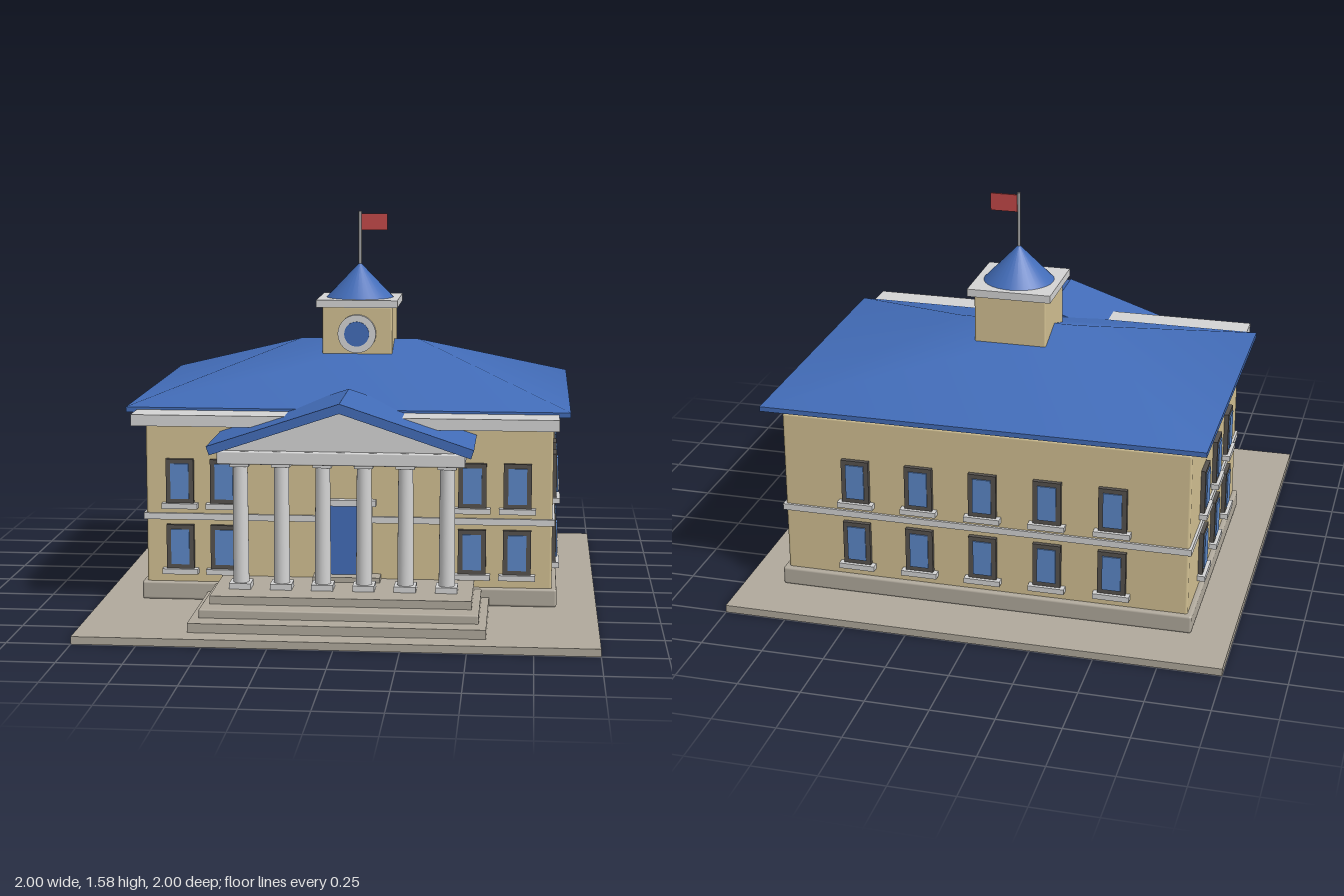
import * as THREE from 'three';
import { RoundedBoxGeometry } from 'three/addons/geometries/RoundedBoxGeometry.js';

export function createModel() {
  const root = new THREE.Group();
  root.name = 'townHall';
  const mat = (name, color) => {
    const m = new THREE.MeshStandardMaterial({ color });
    m.name = name;
    return m;
  };
  const stone = mat('stone', 0xb0a99c);
  const wall = mat('wall', 0xd2c092);
  const trim = mat('trim', 0xd4d4d4);
  const blue = mat('roofBlue', 0x426cb8);
  const glass = mat('glass', 0x5c88c8);
  const frame = mat('darkFrame', 0x56524e);
  const metal = mat('metal', 0x9a9a9a);
  const red = mat('flagRed', 0xc24848);

  const add = (name, geo, m, parent = root) => {
    const mesh = new THREE.Mesh(geo, m);
    mesh.name = name;
    parent.add(mesh);
    return mesh;
  };
  // Box given by its limits; r > 0 rounds the edges
  const box = (name, m, x0, x1, y0, y1, z0, z1, r = 0, parent = root) => {
    const s = [x1 - x0, y1 - y0, z1 - z0];
    const g = r ? new RoundedBoxGeometry(...s, 2, r) : new THREE.BoxGeometry(...s);
    const mesh = add(name, g, m, parent);
    mesh.position.set((x0 + x1) / 2, (y0 + y1) / 2, (z0 + z1) / 2);
    return mesh;
  };
  const cyl = (name, m, rTop, rBottom, y0, y1, x, z, sides, parent = root) => {
    const mesh = add(name, new THREE.CylinderGeometry(rTop, rBottom, y1 - y0, sides), m, parent);
    mesh.position.set(x, (y0 + y1) / 2, z);
    return mesh;
  };
  const midZ = -0.18;

  // Ground, plinth, walls and bands
  box('ground', stone, -1, 1, 0, 0.03, -1, 1);
  box('plinth', stone, -0.84, 0.84, 0.03, 0.105, -0.77, 0.405, 0.01);
  box('walls', wall, -0.82, 0.82, 0.095, 0.78, -0.75, 0.393, 0.01);
  box('stringCourse', trim, -0.83, 0.83, 0.362, 0.388, -0.76, 0.403);
  box('cornice', trim, -0.84, 0.84, 0.775, 0.82, -0.59, 0.59);

  // Hipped roof: sloping top, fascia and underside
  const E = 0.885, D = 0.638, y0 = 0.81, y1 = 0.83, ridgeY = 1.04, R = 0.25;
  const corners = [[-E, D], [E, D], [E, -D], [-E, -D]];
  const ring = y => corners.flatMap(([x, z]) => [x, y, z]);
  const top = new THREE.BufferGeometry();
  top.setAttribute('position', new THREE.Float32BufferAttribute(
    [...ring(y1), -R, ridgeY, 0, R, ridgeY, 0], 3));
  top.setIndex([0, 1, 5, 0, 5, 4, 1, 2, 5, 2, 3, 4, 2, 4, 5, 3, 0, 4]);
  top.computeVertexNormals();
  const roof = new THREE.Group();
  roof.name = 'hippedRoof';
  roof.position.z = midZ;
  root.add(roof);
  add('roofSlopes', top, blue, roof);
  box('roofFascia', blue, -E, E, y0, y1 - 0.0005, -D, D, 0, roof);

  // Front steps
  box('lowerStep', stone, -0.57, 0.57, 0.03, 0.066, 0.38, 0.905);
  box('middleStep', stone, -0.54, 0.54, 0.06, 0.1, 0.38, 0.82, 0.006);
  box('upperStep', stone, -0.51, 0.51, 0.095, 0.132, 0.38, 0.735);
  box('doorStep', stone, -0.135, 0.135, 0.13, 0.152, 0.38, 0.47);

  // Door
  box('doorSurround', trim, -0.1, 0.1, 0.15, 0.435, 0.38, 0.4);
  box('door', blue, -0.09, 0.09, 0.15, 0.432, 0.38, 0.418);
  box('doorLintel', trim, -0.115, 0.115, 0.433, 0.458, 0.38, 0.425);

  // Columns
  for (let i = 0; i < 6; i++) {
    const x = (i - 2.5) * 0.163, z = 0.575;
    const c = new THREE.Group();
    c.name = 'column';
    c.position.set(x, 0, z);
    root.add(c);
    box('columnBase', trim, -0.043, 0.043, 0.13, 0.155, -0.043, 0.043, 0, c);
    cyl('columnShaft', trim, 0.029, 0.032, 0.155, 0.625, 0, 0, 24, c);
    box('columnCapital', trim, -0.037, 0.037, 0.622, 0.652, -0.037, 0.037, 0, c);
  }

  // Portico top: entablature, pediment and gable roof
  box('entablature', trim, -0.48, 0.48, 0.65, 0.702, 0.38, 0.715, 0.006);
  const tri = new THREE.Shape([
    new THREE.Vector2(-0.47, 0.7), new THREE.Vector2(0.47, 0.7), new THREE.Vector2(0, 0.865)]);
  const ped = add('pediment', new THREE.ExtrudeGeometry(tri, { depth: 0.31, bevelEnabled: false }), trim);
  ped.position.z = 0.385;
  const pitch = Math.atan(1 / 3);
  for (const s of [-1, 1]) {
    const slab = add('porticoRoof', new THREE.BoxGeometry(0.543, 0.036, 0.41), blue);
    slab.position.set(s * 0.252, 0.794, 0.545);
    slab.rotation.z = -s * pitch;
  }

  // Windows: two storeys on each wall, facing outward by a turn about y
  const windowPair = (x, z, turn) => {
    for (const y of [0.16, 0.43]) {
      const w = new THREE.Group();
      w.name = 'window';
      w.position.set(x, y, z);
      w.rotation.y = turn;
      root.add(w);
      box('windowFrame', frame, -0.056, 0.056, 0, 0.182, -0.01, 0.018, 0, w);
      box('windowPane', glass, -0.037, 0.037, 0.02, 0.164, 0.015, 0.023, 0, w);
      box('windowSill', trim, -0.073, 0.073, -0.02, 0.002, -0.01, 0.032, 0, w);
    }
  };
  for (const s of [-1, 1]) {
    for (const x of [0.5, 0.68]) windowPair(s * x, 0.393, 0);
    for (const dz of [-0.285, 0, 0.285]) windowPair(s * 0.82, midZ + dz, s * Math.PI / 2);
  }
  for (let i = -2; i <= 2; i++) windowPair(i * 0.26, -0.75, Math.PI);

  // Clock tower
  box('tower', wall, -0.147, 0.147, 0.9, 1.19, midZ - 0.147, midZ + 0.147, 0.008);
  box('towerCap', trim, -0.17, 0.17, 1.187, 1.218, midZ - 0.17, midZ + 0.17);
  const spire = add('spire', new THREE.ConeGeometry(0.142, 0.147, 32), blue);
  spire.position.set(0, 1.2915, midZ);
  const disc = (name, m, r, z0, z1) => {
    const d = add(name, new THREE.CylinderGeometry(r, r, z1 - z0, 32), m);
    d.rotation.x = Math.PI / 2;
    d.position.set(0, 1.077, (z0 + z1) / 2);
  };
  disc('clockRim', trim, 0.08, -0.04, -0.012);
  disc('clockFace', blue, 0.052, -0.015, -0.006);

  // Flag
  cyl('flagPole', metal, 0.007, 0.007, 1.35, 1.58, 0, midZ, 12);
  box('flag', red, 0.006, 0.115, 1.5, 1.57, midZ - 0.004, midZ + 0.004);

  return root;
}
